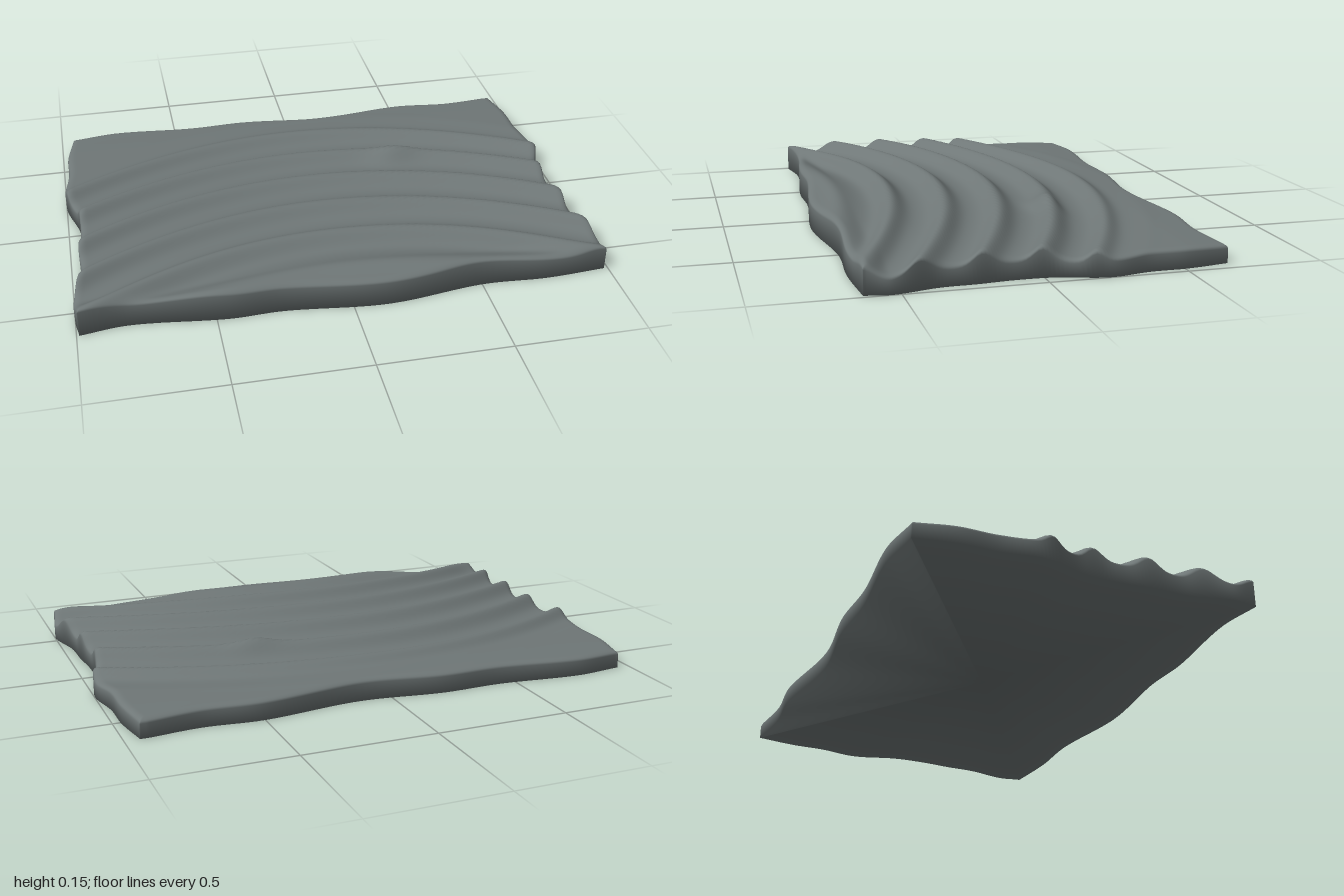
import * as THREE from 'three';

const { smoothstep, lerp } = THREE.MathUtils;

// Smooth curve through [position, value] pairs, sampled by position
function edgeCurve(points) {
  return (p) => {
    let i = 0;
    while (i < points.length - 2 && p > points[i + 1][0]) i++;
    const at = (k) => points[Math.min(Math.max(k, 0), points.length - 1)];
    const [p0, p1, p2, p3] = [at(i - 1), at(i), at(i + 1), at(i + 2)];
    const span = p2[0] - p1[0];
    const t = THREE.MathUtils.clamp((p - p1[0]) / span, 0, 1);
    const m1 = ((p2[1] - p0[1]) / (p2[0] - p0[0])) * span;
    const m2 = ((p3[1] - p1[1]) / (p3[0] - p1[0])) * span;
    const t2 = t * t, t3 = t2 * t;
    return (2 * t3 - 3 * t2 + 1) * p1[1] + (t3 - 2 * t2 + t) * m1
      + (3 * t2 - 2 * t3) * p2[1] + (t3 - t2) * m2;
  };
}

// Wavy outline: x of the side edges along z, z of the end edges along x
const minusXEdge = edgeCurve([[-0.66, -0.95], [-0.5, -0.978], [-0.36, -0.98], [-0.2, -1], [-0.02, -0.955], [0.12, -0.953], [0.25, -0.965], [0.38, -0.965], [0.54, -1], [0.64, -0.99]]);
const plusXEdge = edgeCurve([[-0.66, 0.945], [-0.5, 0.97], [-0.36, 0.973], [-0.2, 0.998], [-0.02, 0.952], [0.12, 0.947], [0.25, 0.958], [0.38, 0.963], [0.54, 0.998], [0.63, 0.985]]);
const backEdge = edgeCurve([[-0.97, -0.66], [-0.78, -0.68], [-0.45, -0.65], [-0.2, -0.655], [0.13, -0.62], [0.52, -0.665], [0.75, -0.65], [0.95, -0.67]]);
const frontEdge = edgeCurve([[-0.99, 0.635], [-0.8, 0.61], [-0.45, 0.645], [-0.25, 0.64], [0.13, 0.675], [0.5, 0.63], [0.75, 0.64], [0.98, 0.625]]);

// Height of the rippled top: arched ridges that fade out to a flat back
function topHeight(x, z) {
  const s = z - (x < -0.03 ? 0.3 : 0.265) * (x + 0.03) ** 2;
  const phase = ((s - 0.165) / 0.205) * Math.PI * 2;
  const wave = 0.5 + 0.5 * Math.cos(phase + 0.45 * Math.sin(phase));
  const depth = (0.045 - 0.025 * smoothstep(s, 0.42, 0.56) - 0.012 * smoothstep(-s, 0.42, 0.55))
    * (1 - 0.55 * smoothstep(z, 0.53, 0.63));
  const fade = smoothstep(s, -0.66, -0.4);
  const crest = 0.146 - 0.03 * smoothstep(-z, -0.15, 0.5) - (x > 0 ? 0.03 : 0.018) * x * x;
  const flat = 0.084 - 0.01 * x * x - 0.006 * smoothstep(-z, 0.5, 0.68);
  const bump = 0.022 * Math.exp(-(((x - 0.36) / 0.09) ** 2) - ((z + 0.18) / 0.045) ** 2);
  const frontSlope = 0.028 * smoothstep(z, 0.36, 0.68) * (1 - 0.6 * x * x);
  return lerp(flat, crest - depth * (1 - wave), fade) + bump - frontSlope;
}

// Rounds the rim off near the outline
function rimDrop(distance) {
  const r = 1 - Math.min(distance / 0.03, 1);
  return 0.016 * (1 - Math.sqrt(1 - r * r));
}

function slabGeometry(nx, nz) {
  const positions = [], index = [];
  const cluster = (t) => lerp(t, 0.5 - 0.5 * Math.cos(Math.PI * t), 0.85);

  // Top surface
  for (let j = 0; j <= nz; j++) {
    for (let i = 0; i <= nx; i++) {
      const u = cluster(i / nx), v = cluster(j / nz);
      const gx = lerp(-0.98, 0.98, u), gz = lerp(-0.66, 0.64, v);
      const x = lerp(minusXEdge(gz), plusXEdge(gz), u);
      const z = lerp(backEdge(gx), frontEdge(gx), v);
      const distance = Math.min(2 * Math.min(u, 1 - u), 1.3 * Math.min(v, 1 - v));
      positions.push(x, topHeight(x, z) - rimDrop(distance), z);
    }
  }
  const id = (i, j) => j * (nx + 1) + i;
  for (let j = 0; j < nz; j++) {
    for (let i = 0; i < nx; i++) {
      const a = id(i, j), b = id(i, j + 1), c = id(i + 1, j), d = id(i + 1, j + 1);
      index.push(a, b, c, c, b, d);
    }
  }

  // Outline loop, counterclockwise from above
  const loop = [];
  for (let i = 0; i < nx; i++) loop.push(id(i, nz));
  for (let j = nz; j > 0; j--) loop.push(id(nx, j));
  for (let i = nx; i > 0; i--) loop.push(id(i, 0));
  for (let j = 0; j < nz; j++) loop.push(id(0, j));

  // Side wall down to the ground, and a flat underside fanned from its centre
  const n = loop.length, base = positions.length / 3, centre = base + n;
  for (const k of loop) positions.push(positions[k * 3], 0, positions[k * 3 + 2]);
  positions.push(0, 0, 0);
  for (let k = 0; k < n; k++) {
    const m = (k + 1) % n;
    index.push(base + k, base + m, loop[k], loop[k], base + m, loop[m]);
    index.push(centre, base + m, base + k);
  }

  const geometry = new THREE.BufferGeometry();
  geometry.setAttribute('position', new THREE.Float32BufferAttribute(positions, 3));
  geometry.setIndex(index);
  geometry.computeVertexNormals();

  // Blend wall and underside evenly along the bottom edge
  const normal = geometry.attributes.normal, v = new THREE.Vector3();
  loop.forEach((k, i) => {
    v.set(normal.getX(k), 0, normal.getZ(k)).normalize().setY(-0.7).normalize();
    normal.setXYZ(base + i, v.x, v.y, v.z);
  });
  return geometry;
}

export function createModel() {
  const group = new THREE.Group();
  group.name = 'rippledGround';
  const slab = new THREE.Mesh(
    slabGeometry(110, 130),
    new THREE.MeshStandardMaterial({ color: 0x6f7777 })
  );
  slab.name = 'rippledSlab';
  group.add(slab);
  return group;
}
